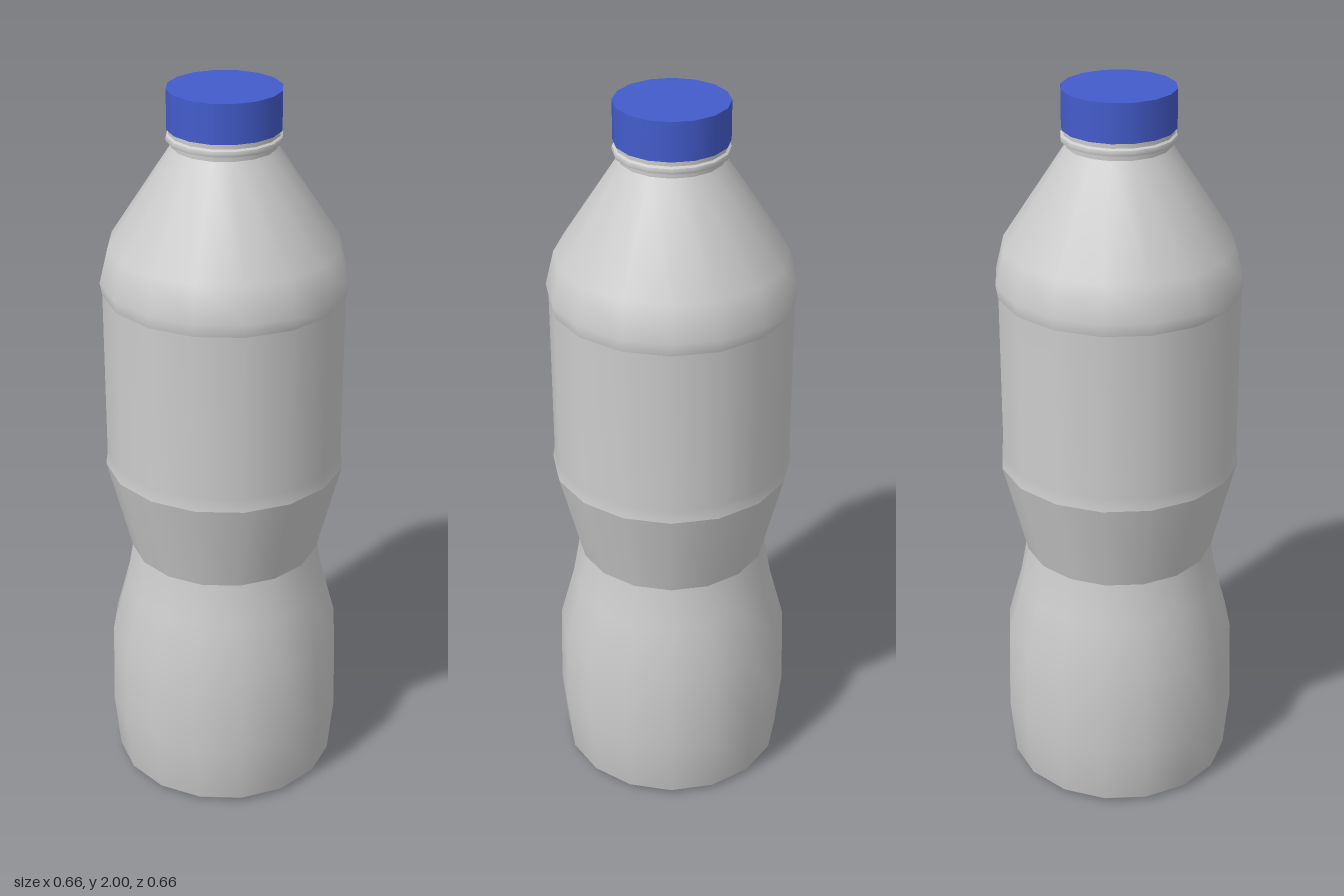
import * as THREE from 'three';

const SIDES = 16;

// One mesh per smooth run of the profile; runs meet in sharp edges.
function turned(name, material, runs) {
  const group = new THREE.Group();
  group.name = name;
  runs.forEach((run, i) => {
    const points = run.map(([r, y]) => new THREE.Vector2(r, y));
    const mesh = new THREE.Mesh(new THREE.LatheGeometry(points, SIDES), material);
    mesh.name = `${name}Section${i + 1}`;
    group.add(mesh);
  });
  return group;
}

export function createModel() {
  const plastic = new THREE.MeshStandardMaterial({ color: 0xcccccc, side: THREE.DoubleSide });
  const blue = new THREE.MeshStandardMaterial({ color: 0x445ccc });

  const model = new THREE.Group();
  model.name = 'bottle';

  // Body: base, lower bulge and waist, recessed label band, shoulder
  model.add(turned('body', plastic, [
    [[0, 0.005], [0.295, 0.005]],
    [[0.295, 0.005], [0.311, 0.02], [0.327, 0.19], [0.321, 0.43], [0.281, 0.58], [0.26, 0.7]],
    [[0.26, 0.7], [0.327, 0.965]],
    [[0.327, 0.965], [0.322, 1.0], [0.322, 1.46]],
    [[0.322, 1.46], [0.328, 1.495], [0.305, 1.59], [0.136, 1.85]],
  ]));

  // Neck with its support ring
  model.add(turned('neckRing', plastic, [
    [[0.136, 1.85], [0.136, 1.864]],
    [[0.136, 1.864], [0.149, 1.866]],
    [[0.149, 1.866], [0.151, 1.873], [0.149, 1.88]],
    [[0.149, 1.88], [0.143, 1.884]],
    [[0.143, 1.884], [0.143, 1.9]],
  ]));

  // Screw cap
  const cap = new THREE.Mesh(new THREE.CylinderGeometry(0.148, 0.148, 0.103, SIDES), blue);
  cap.name = 'cap';
  cap.position.y = 1.9485;
  model.add(cap);

  return model;
}
